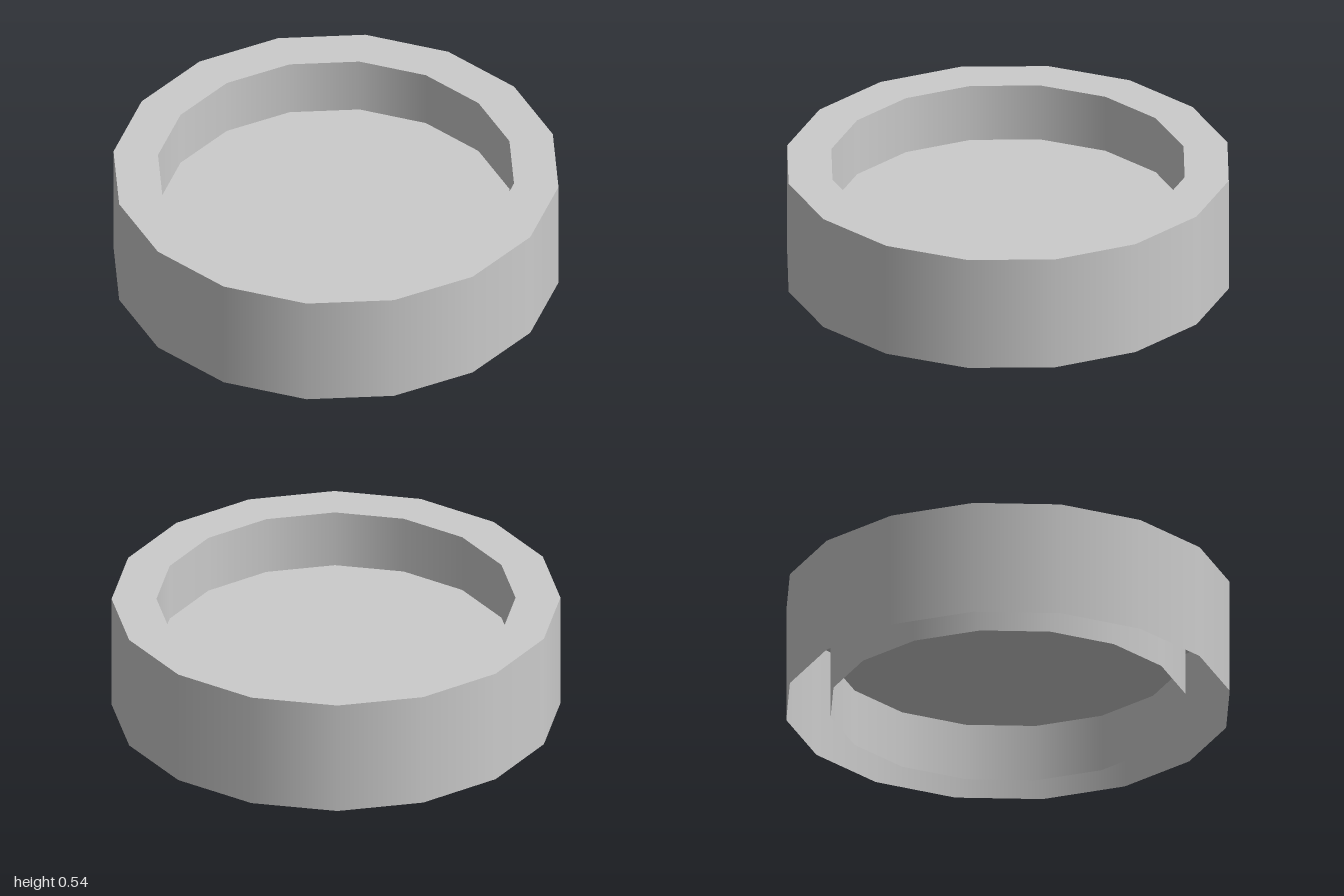
import * as THREE from 'three';

const SIDES = 16;
const OUTER = 1;
const INNER = 0.8;
const HEIGHT = 0.535;

export function createModel() {
  const group = new THREE.Group();
  group.name = 'hollowRing';
  const material = new THREE.MeshStandardMaterial({ color: 0xcccccc, side: THREE.DoubleSide });

  const add = (name, geometry, y) => {
    const mesh = new THREE.Mesh(geometry, material);
    mesh.name = name;
    mesh.position.y = y;
    group.add(mesh);
  };

  // Thin upright walls, smooth around and open underneath
  const wall = (radius) => new THREE.CylinderGeometry(radius, radius, HEIGHT, SIDES, 1, true);
  add('outerWall', wall(OUTER), HEIGHT / 2);
  add('innerWall', wall(INNER), HEIGHT / 2);

  // Flat rim joining the tops of the two walls
  add('topRim', new THREE.RingGeometry(INNER, OUTER, SIDES).rotateX(-Math.PI / 2), HEIGHT);

  // Disc halfway up inside the inner wall
  add('floorDisc', new THREE.CircleGeometry(INNER, SIDES).rotateX(-Math.PI / 2), HEIGHT / 2);

  return group;
}
